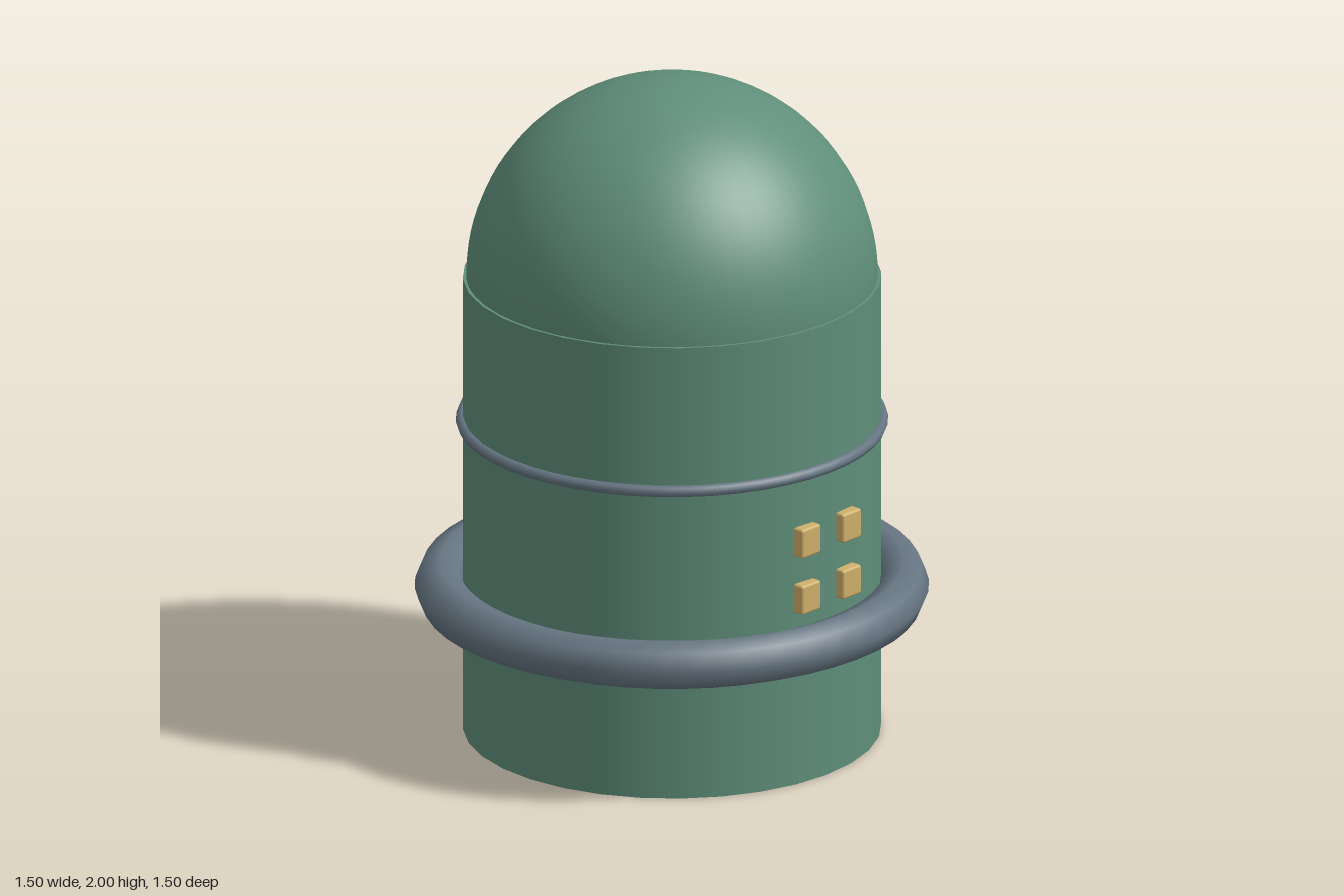
import * as THREE from 'three';
import { RoundedBoxGeometry } from 'three/addons/geometries/RoundedBoxGeometry.js';

const material = (name, color) => {
  const m = new THREE.MeshStandardMaterial({ color });
  m.name = name;
  return m;
};

export function createModel() {
  const green = material('sage green', 0x5f8e7a);
  const slate = material('slate grey', 0x667582);
  const sand = material('sand yellow', 0xcfb06c);
  const grey = material('hinge grey', 0x888888);
  slate.side = THREE.DoubleSide;

  const model = new THREE.Group();
  model.name = 'domedCanister';

  const add = (name, geometry, mat, x = 0, y = 0, z = 0) => {
    const mesh = new THREE.Mesh(geometry, mat);
    mesh.name = name;
    mesh.position.set(x, y, z);
    model.add(mesh);
    return mesh;
  };

  // Body and domed lid, leaving a narrow rim at the seam
  add('body', new THREE.CylinderGeometry(0.61, 0.61, 1.4, 32), green, 0, 0.7, 0);
  add('domeLid', new THREE.SphereGeometry(0.6, 48, 24, 0, Math.PI * 2, 0, Math.PI / 2), green, 0, 1.4, 0);

  // Hoops around the body, each with a hairline split on the +x side
  const hoop = (name, radius, tube, y) => {
    const geometry = new THREE.TorusGeometry(radius, tube, 8, 48, Math.PI * 2 - 0.013);
    geometry.rotateX(Math.PI / 2);
    add(name, geometry, slate, 0, y, 0);
  };
  hoop('bumperRing', 0.675, 0.075, 0.44);
  hoop('trimRing', 0.612, 0.018, 0.956);

  // Two columns of small front windows; the lowest row sits behind the bumper
  for (const y of [0.755, 0.58, 0.405]) {
    for (const x of [-0.088, 0.088]) {
      add('window', new RoundedBoxGeometry(0.08, 0.09, 0.04, 2, 0.008), sand, x, y, 0.613);
    }
  }

  // Hinge barrel at the back of the lid
  const barrel = new THREE.CylinderGeometry(0.05, 0.05, 0.28, 24);
  barrel.rotateZ(Math.PI / 2);
  add('hinge', barrel, grey, 0, 1.403, -0.612);

  return model;
}
